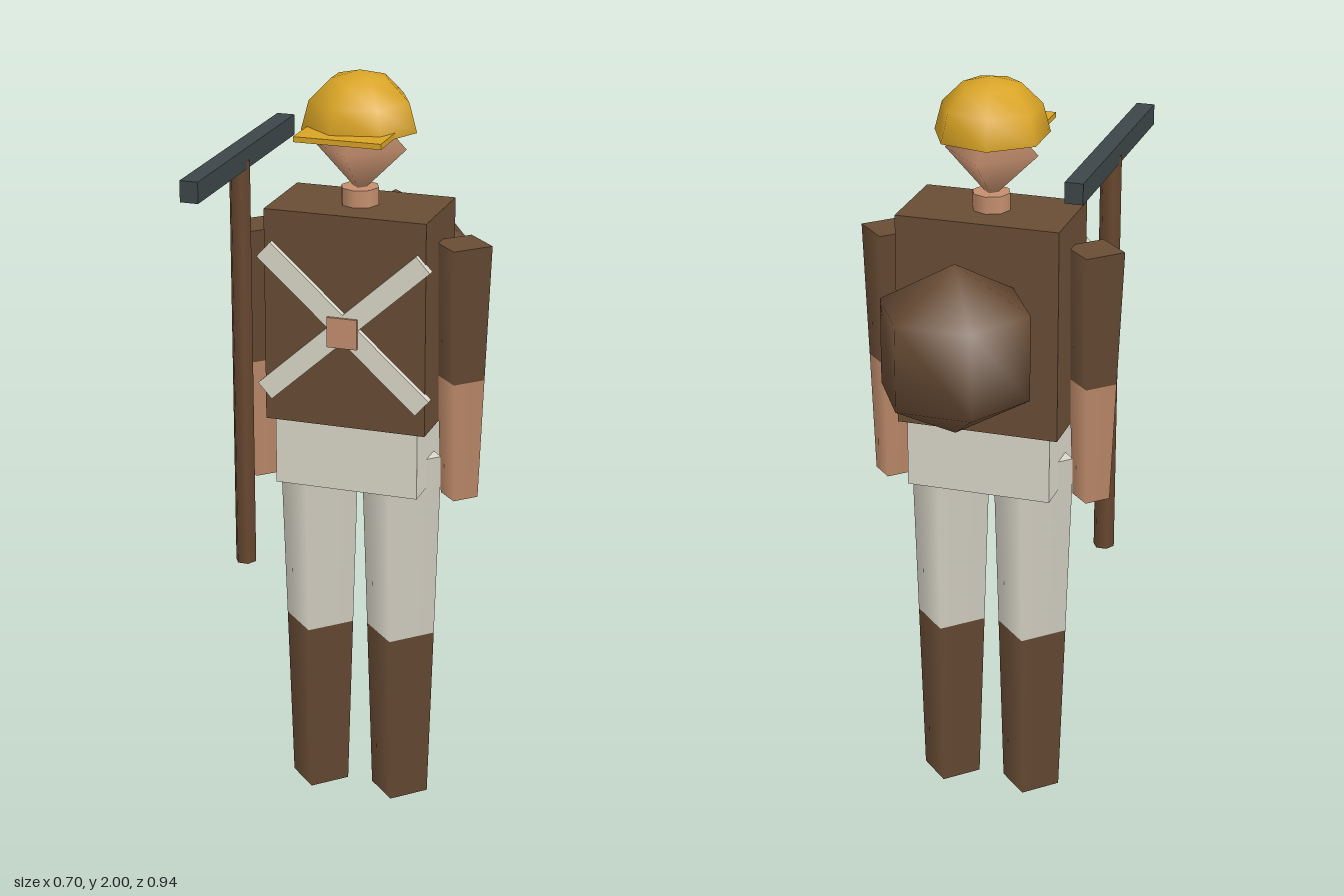
import * as THREE from 'three';

const mat = (name, color, side = THREE.FrontSide) => {
  const m = new THREE.MeshStandardMaterial({ color, side });
  m.name = name;
  return m;
};

export function createModel() {
  const model = new THREE.Group();
  model.name = 'worker';
  const brown = mat('brown cloth', 0x694c35);
  const cream = mat('cream cloth', 0xdcd8ca);
  const skin = mat('skin', 0xc48f6e);
  const yellow = mat('yellow helmet', 0xd9a425, THREE.DoubleSide);
  const iron = mat('dark iron', 0x3c4648);
  const wood = mat('wood', 0x67472f);

  const Z = -0.004; // depth of the body's centre line

  const add = (name, geometry, material, x, y, z) => {
    const mesh = new THREE.Mesh(geometry, material);
    mesh.name = name;
    mesh.position.set(x, y, z);
    model.add(mesh);
    return mesh;
  };
  const box = (name, material, w, h, d, x, y, z) =>
    add(name, new THREE.BoxGeometry(w, h, d), material, x, y, z);
  // tapered limb section between two heights
  const limb = (name, material, x, yBottom, yTop, rBottom, rTop, sides = 4, z = Z) =>
    add(name, new THREE.CylinderGeometry(rTop, rBottom, yTop - yBottom, sides),
      material, x, (yBottom + yTop) / 2, z);

  // trunk
  box('torso', brown, 0.43, 0.565, 0.25, 0, 1.3725, Z);
  box('hips', cream, 0.385, 0.18, 0.23, 0, 1.0, Z);

  // arms and legs, mirrored
  for (const [side, s] of [['left', 1], ['right', -1]]) {
    limb(side + 'Boot', brown, s * 0.114, 0, 0.48, 0.079, 0.094);
    limb(side + 'Trouser', cream, s * 0.114, 0.48, 0.99, 0.094, 0.11);
    limb(side + 'Forearm', skin, s * 0.273, 0.89, 1.215, 0.05, 0.063);
    limb(side + 'Sleeve', brown, s * 0.273, 1.215, 1.575, 0.063, 0.078);
  }

  // neck and head
  limb('neck', skin, 0, 1.64, 1.7, 0.05, 0.05, 8);
  add('head', new THREE.SphereGeometry(0.123, 4, 2), skin, 0, 1.805, Z);

  // helmet: seven-sided open dome with a flat brim
  add('helmetDome', new THREE.SphereGeometry(0.15, 7, 3, Math.PI, Math.PI * 2, 0, Math.PI / 2),
    yellow, 0, 1.85, Z);
  box('helmetBrim', yellow, 0.228, 0.014, 0.13, 0, 1.857, 0.111);

  // crossed chest straps with a buckle
  for (const s of [1, -1]) {
    const strap = box(s > 0 ? 'strapRising' : 'strapFalling', cream,
      0.57, 0.055, 0.022, 0, 1.362, 0.126);
    strap.rotation.z = s * THREE.MathUtils.degToRad(42);
  }
  box('buckle', skin, 0.08, 0.08, 0.03, 0, 1.352, 0.129);

  // backpack
  add('backpack', new THREE.SphereGeometry(0.225, 6, 3), brown, 0, 1.385, -0.3);

  // pick carried at the right side
  limb('pickHandle', wood, -0.273, 0.683, 1.78, 0.028, 0.028, 6, 0.133)
    .rotation.y = Math.PI / 2;
  box('pickHead', iron, 0.047, 0.054, 0.676, -0.273, 1.788, 0.132);

  return model;
}
